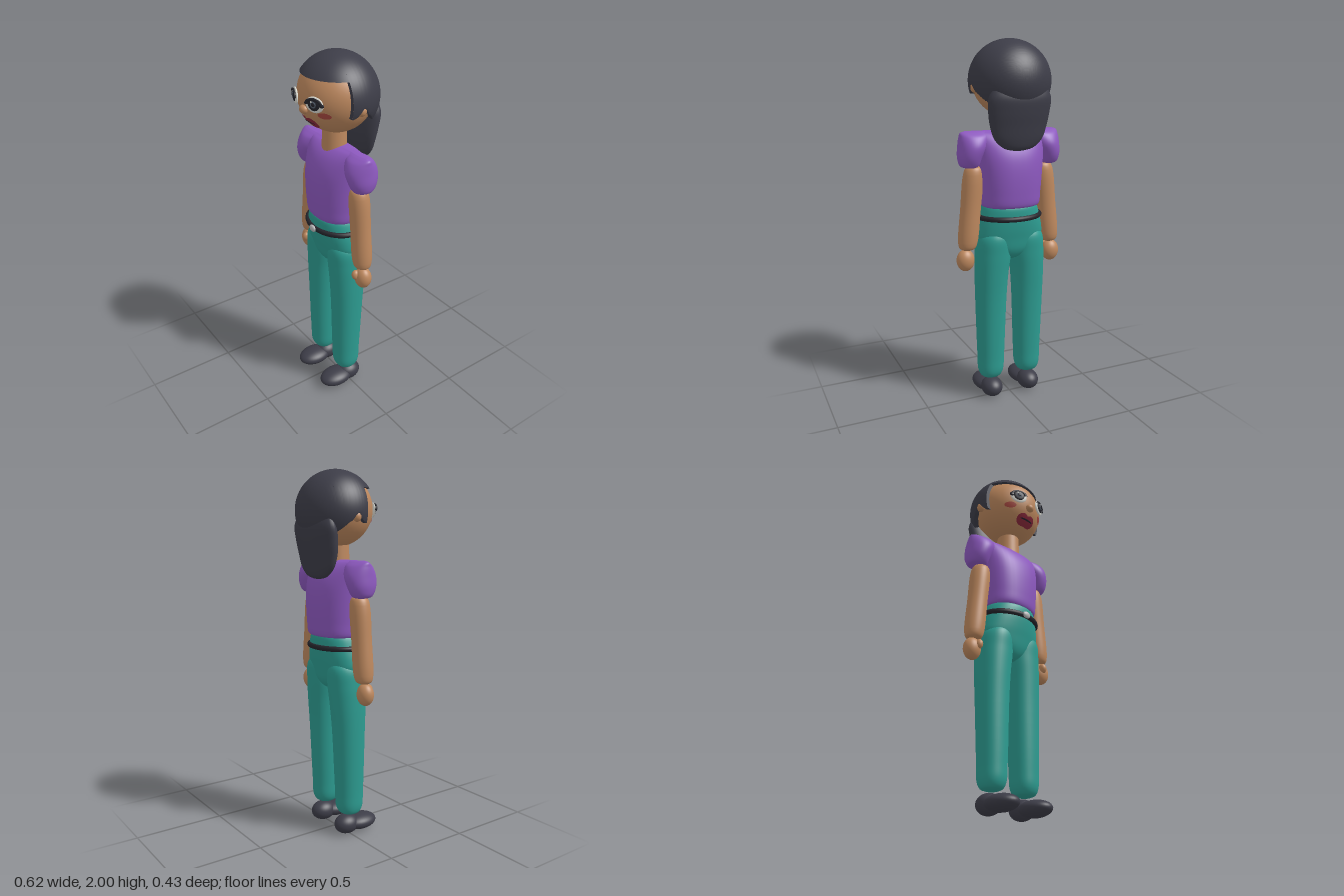
import * as THREE from 'three';
import { toCreasedNormals } from 'three/addons/utils/BufferGeometryUtils.js';

const colour = (name, color) => Object.assign(new THREE.MeshStandardMaterial({ color }), { name });

// Smooth closed skin through oval sections [y, rx, rz, cx, cz], listed from bottom to top
function loft(sections, power = 2, sides = 40, steps = 6) {
  const size = new THREE.CatmullRomCurve3(sections.map(s => new THREE.Vector3(s[1], s[0], s[2])));
  const mid = new THREE.CatmullRomCurve3(sections.map(s => new THREE.Vector3(s[3] ?? 0, s[0], s[4] ?? 0)));
  const n = (sections.length - 1) * steps, pos = [], idx = [];
  for (let i = -1; i <= n + 1; i++) {
    const t = Math.min(1, Math.max(0, i / n));
    const r = size.getPoint(t), c = mid.getPoint(t);
    const k = i < 0 || i > n ? 0 : 1;
    for (let j = 0; j < sides; j++) {
      const a = j / sides * Math.PI * 2, ca = Math.cos(a), sa = Math.sin(a);
      pos.push(c.x + k * r.x * Math.sign(ca) * Math.abs(ca) ** (2 / power), r.y,
        c.z + k * r.z * Math.sign(sa) * Math.abs(sa) ** (2 / power));
    }
  }
  for (let i = 0; i < n + 2; i++) for (let j = 0; j < sides; j++) {
    const a = i * sides + j, b = i * sides + (j + 1) % sides;
    idx.push(a, a + sides, b, b, a + sides, b + sides);
  }
  const g = new THREE.BufferGeometry();
  g.setAttribute('position', new THREE.Float32BufferAttribute(pos, 3));
  g.setIndex(idx);
  g.computeVertexNormals();
  return g;
}

const HEAD = { y: 1.79, rx: 0.2, ry: 0.195, rz: 0.193 };
const faceZ = (x, y) => HEAD.rz * Math.sqrt(Math.max(0, 1 - (x / HEAD.rx) ** 2 - ((y - HEAD.y) / HEAD.ry) ** 2));

// Thin painted patch that follows the face; outline(angle) scales its edge
function facePatch(cx, cy, rx, ry, lift, outline = () => 1) {
  const g = new THREE.RingGeometry(0.001, 1, 40, 6), p = g.attributes.position;
  for (let i = 0; i < p.count; i++) {
    const k = outline(Math.atan2(p.getY(i), p.getX(i)));
    const x = cx + p.getX(i) * rx * k, y = cy + p.getY(i) * ry * k;
    p.setXYZ(i, x, y, faceZ(x, y) + lift);
  }
  g.computeVertexNormals();
  return g;
}

export function createModel() {
  const skin = colour('skin', 0xbd885e), purple = colour('purple shirt', 0x8d59bf);
  const teal = colour('teal trousers', 0x2d9c91), dark = colour('dark hair', 0x3d3d48);
  const black = colour('black', 0x25252c), white = colour('eye white', 0xdcdcd4);
  const red = colour('lip red', 0x8c2a3c), blush = colour('blush', 0xa8483f);
  const silver = colour('silver', 0xb9b9bb), iris = colour('iris', 0x56606e);

  const root = new THREE.Group();
  root.name = 'woman';
  const add = (name, geometry, material, parent = root) => {
    const m = new THREE.Mesh(geometry, material);
    m.name = name;
    parent.add(m);
    return m;
  };
  const ball = (name, mat, [x, y, z], [rx, ry, rz], parent = root) => {
    const m = add(name, new THREE.SphereGeometry(1, 36, 24), mat, parent);
    m.position.set(x, y, z);
    m.scale.set(rx, ry, rz);
    return m;
  };

  // Head and neck
  ball('head', skin, [0, HEAD.y, 0], [HEAD.rx, HEAD.ry, HEAD.rz]);
  ball('nose', skin, [0, 1.745, 0.19], [0.026, 0.023, 0.022]);
  add('neck', new THREE.CylinderGeometry(0.062, 0.066, 0.16, 32), skin).position.set(0, 1.56, 0.01);

  // Hair: crown above the fringe line, back shell behind the ears, hanging tail
  const hairY = 1.785, hair = [0.222, 0.215, 0.211], hairZ = -0.005;
  const cut = Math.acos((1.9 - hairY) / hair[1]);
  const crown = new THREE.SphereGeometry(1, 56, 20, 0, Math.PI * 2, 0, cut);
  crown.scale(...hair).translate(0, hairY, hairZ);
  add('hairCrown', crown, dark);
  const fringe = new THREE.CircleGeometry(Math.sin(cut), 56).rotateX(Math.PI / 2);
  add('fringeUnderside', fringe.scale(hair[0], 1, hair[2]).translate(0, 1.9, hairZ), dark);

  const edge = Math.acos(-(0.05 - hairZ) / hair[2]);
  const trim = g => {
    g.scale(...hair).translate(0, hairY, hairZ);
    const p = g.attributes.position;
    for (let i = 0; i < p.count; i++) {
      // lower edge arches over the ear and drops again at the nape
      const arch = 0.05 * Math.exp(-(((p.getZ(i) + 0.012) / 0.028) ** 2));
      const nape = Math.min(0.06, Math.max(0, -p.getZ(i) - 0.06));
      p.setY(i, Math.max(p.getY(i), 1.72 + arch - nape));
    }
    return toCreasedNormals(g, 0.7);
  };
  add('hairBack', trim(new THREE.SphereGeometry(1, 96, 48, 0, Math.PI * 2, 0, edge).rotateX(-Math.PI / 2)), dark);
  add('hairSideFront', trim(new THREE.CircleGeometry(Math.sin(edge), 64).translate(0, 0, (0.05 - hairZ) / hair[2])), dark);
  add('hairTail', loft([
    [1.43, 0.03, 0.012, 0, -0.118], [1.445, 0.085, 0.03, 0, -0.12], [1.49, 0.135, 0.047, 0, -0.118],
    [1.56, 0.16, 0.06, 0, -0.118], [1.63, 0.172, 0.066, 0, -0.125], [1.7, 0.175, 0.062, 0, -0.135],
    [1.76, 0.15, 0.04, 0, -0.14]]), dark);

  // Shirt body, a ridge across the shoulders
  add('shirt', loft([
    [1.118, 0.14, 0.11], [1.128, 0.162, 0.133], [1.2, 0.17, 0.143], [1.33, 0.182, 0.143],
    [1.41, 0.19, 0.128], [1.48, 0.2, 0.093], [1.517, 0.207, 0.053], [1.53, 0.2, 0.015]], 2.3), purple);

  // Trousers: hips, with the legs added below
  add('hips', loft([
    [0.82, 0.02, 0.03], [0.84, 0.07, 0.07], [0.885, 0.15, 0.098], [0.95, 0.188, 0.112, 0, 0.002],
    [1.0, 0.186, 0.122, 0, 0.003], [1.06, 0.172, 0.129, 0, 0.004], [1.12, 0.152, 0.127, 0, 0.004],
    [1.13, 0.14, 0.115, 0, 0.004]], 2.2), teal);

  // Belt and buckle
  const belt = add('belt', new THREE.TorusGeometry(1, 0.085, 12, 64).rotateX(Math.PI / 2), black);
  belt.scale.set(0.174, 0.17, 0.138);
  belt.position.set(0, 1.063, 0.006);
  ball('buckle', silver, [0, 1.063, 0.154], [0.026, 0.019, 0.011]);

  for (const s of [1, -1]) {
    const side = new THREE.Group();
    side.name = s > 0 ? 'leftSide' : 'rightSide';
    root.add(side);

    // Leg and shoe
    add('trouserLeg', loft([
      [0.118, 0.035, 0.035, s * 0.115, 0.01], [0.128, 0.056, 0.056, s * 0.115, 0.01],
      [0.16, 0.07, 0.072, s * 0.114, 0.01], [0.25, 0.075, 0.077, s * 0.113, 0.01],
      [0.6, 0.086, 0.089, s * 0.112, 0.005], [0.75, 0.092, 0.098, s * 0.108, 0.002],
      [0.86, 0.098, 0.104, s * 0.1], [0.95, 0.092, 0.105, s * 0.095], [1.0, 0.06, 0.08, s * 0.09]], 2.2), teal, side);
    ball('shoeToe', dark, [s * 0.116, 0.051, 0.083], [0.073, 0.044, 0.102], side);
    ball('shoeHeel', dark, [s * 0.115, 0.055, -0.008], [0.06, 0.055, 0.073], side);

    // Puffed sleeve, arm and hand
    add('sleeve', loft([
      [1.338, 0.03, 0.035, s * 0.23], [1.348, 0.05, 0.055, s * 0.232], [1.39, 0.064, 0.078, s * 0.23],
      [1.45, 0.078, 0.086, s * 0.214], [1.5, 0.085, 0.064, s * 0.202], [1.522, 0.085, 0.034, s * 0.196],
      [1.53, 0.07, 0.015, s * 0.19]]), purple, side);
    const arm = [[0.888, 0.025], [0.9, 0.044], [0.935, 0.054], [1.12, 0.056], [1.3, 0.055], [1.335, 0.044], [1.346, 0.025]];
    add('arm', loft(arm.map(([y, r]) => [y, r, r * 0.95, s * (0.249 - (y - 0.89) * 0.099), 0.004])), skin, side);
    ball('hand', skin, [s * 0.259, 0.83, 0.006], [0.05, 0.061, 0.044], side);
    ball('thumb', skin, [s * 0.242, 0.85, 0.042], [0.02, 0.028, 0.023], side).rotation.z = s * 0.2;

    // Ear and cheek
    ball('ear', skin, [s * 0.2, 1.752, -0.01], [0.022, 0.027, 0.024], side);
    add('cheek', facePatch(s * 0.115, 1.735, 0.028, 0.017, 0.003), blush, side);

    // Eye, built flat and turned to lie on the face
    const eye = new THREE.Group();
    eye.name = 'eye';
    eye.position.set(s * 0.083, 1.79, 0.183);
    eye.rotation.set(0, s * 0.4, 0);
    side.add(eye);
    ball('eyeWhite', white, [0, 0, 0], [0.05, 0.04, 0.01], eye);
    ball('irisRim', black, [0, 0.004, 0.008], [0.033, 0.032, 0.007], eye);
    ball('iris', iris, [0, 0.004, 0.012], [0.018, 0.018, 0.005], eye);
    ball('pupil', black, [0, 0.004, 0.0145], [0.011, 0.011, 0.004], eye);
    ball('eyeGlint', white, [-0.01, 0.016, 0.0145], [0.005, 0.005, 0.003], eye);
    const lash = add('upperLash', new THREE.TorusGeometry(0.038, 0.009, 8, 32, Math.PI), black, eye);
    lash.scale.set(1.1, 0.72, 0.6);
    lash.position.set(0, 0.002, 0.01);
    ball('lashTip', black, [s * 0.045, 0.002, 0.006], [0.013, 0.009, 0.006], eye).rotation.z = s * 0.4;
  }

  // Lips with a dipped upper edge and a dark parting line
  const lipEdge = a => (a > 0 ? 1 - 0.35 * Math.exp(-(((a - Math.PI / 2) / 0.4) ** 2)) : 1) * (0.8 + 0.2 * Math.cos(2 * a));
  add('lips', facePatch(0, 1.675, 0.063, 0.052, 0.006, lipEdge), red);
  add('mouthLine', facePatch(0, 1.675, 0.046, 0.004, 0.009), black);
  return root;
}
